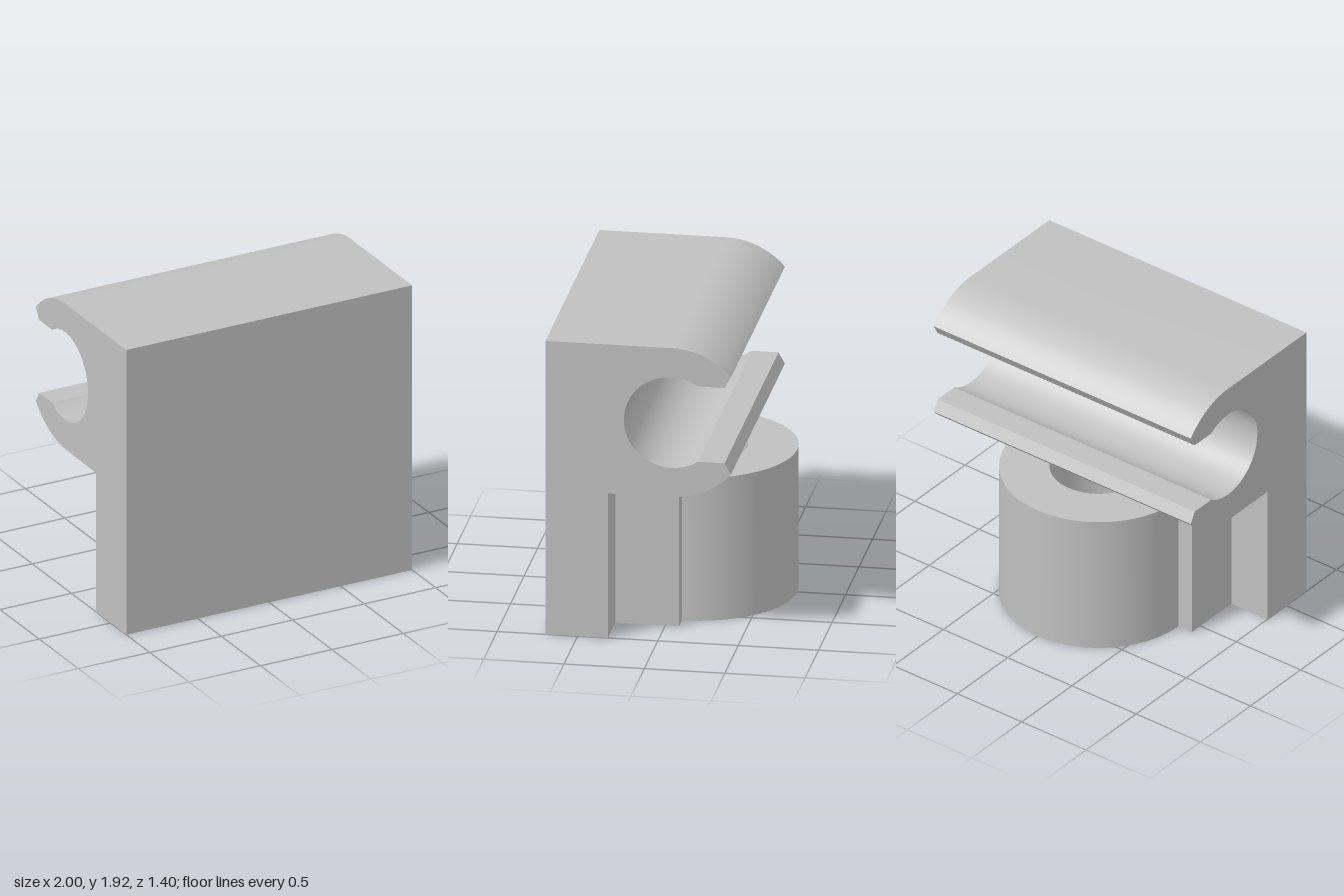
import * as THREE from 'three';
import { toCreasedNormals } from 'three/addons/utils/BufferGeometryUtils.js';

const HEIGHT = 1.918;
const AXIS = 0.085;     // distance of both bore axes behind the centre
const BORE_Y = 1.432;   // height of the clip bore

// Extrude a shape, keeping the curved walls smooth and the edges sharp
function extrude(shape, depth) {
  const geometry = new THREE.ExtrudeGeometry(shape, { depth, bevelEnabled: false, curveSegments: 48 });
  return toCreasedNormals(geometry, Math.PI / 7);
}

// Side profile, drawn with u = -z and v = y
function clipProfile() {
  const R = 0.487, r = 0.296;
  const outer = Math.acos(0.37 / R);       // where the jaws end
  const inner = Math.asin(0.246 / r);      // where the bore meets the slot
  const s = new THREE.Shape();
  s.moveTo(-0.7, 0);
  s.lineTo(-0.31, 0);
  s.lineTo(-0.31, BORE_Y - R);
  s.lineTo(AXIS, BORE_Y - R);
  s.absarc(AXIS, BORE_Y, R, -Math.PI / 2, -outer, false);
  s.lineTo(0.415, BORE_Y - 0.246);
  s.absarc(AXIS, BORE_Y, r, -inner, inner - Math.PI * 2, true);
  s.lineTo(0.415, BORE_Y + 0.246);
  s.absarc(AXIS, BORE_Y, R, outer, Math.PI / 2, false);
  s.lineTo(-0.7, HEIGHT);
  s.closePath();
  return s;
}

// Plan of the boss, drawn with u = x and v = -z
function bossPlan() {
  const R = 0.615, w = 0.72;
  const s = new THREE.Shape();
  s.moveTo(-w, -0.31);
  s.lineTo(w, -0.31);
  s.lineTo(w, AXIS);
  s.lineTo(R, AXIS);
  s.absarc(0, AXIS, R, 0, Math.PI, false);
  s.lineTo(-w, AXIS);
  s.closePath();
  const hole = new THREE.Path();
  hole.absarc(0, AXIS, 0.305, 0, Math.PI * 2, true);
  s.holes.push(hole);
  return s;
}

export function createModel() {
  const group = new THREE.Group();
  const grey = new THREE.MeshStandardMaterial({ color: 0xc0c0c0 });
  grey.name = 'grey';

  // Plate with the open clip along its top
  const clip = new THREE.Mesh(extrude(clipProfile(), 2), grey);
  clip.name = 'clipPlate';
  clip.geometry.rotateY(Math.PI / 2).translate(-1, 0, 0);

  // Bored round boss on its stepped block
  const boss = new THREE.Mesh(extrude(bossPlan(), 0.932), grey);
  boss.name = 'boredBoss';
  boss.geometry.rotateX(-Math.PI / 2);

  group.add(clip, boss);
  return group;
}
